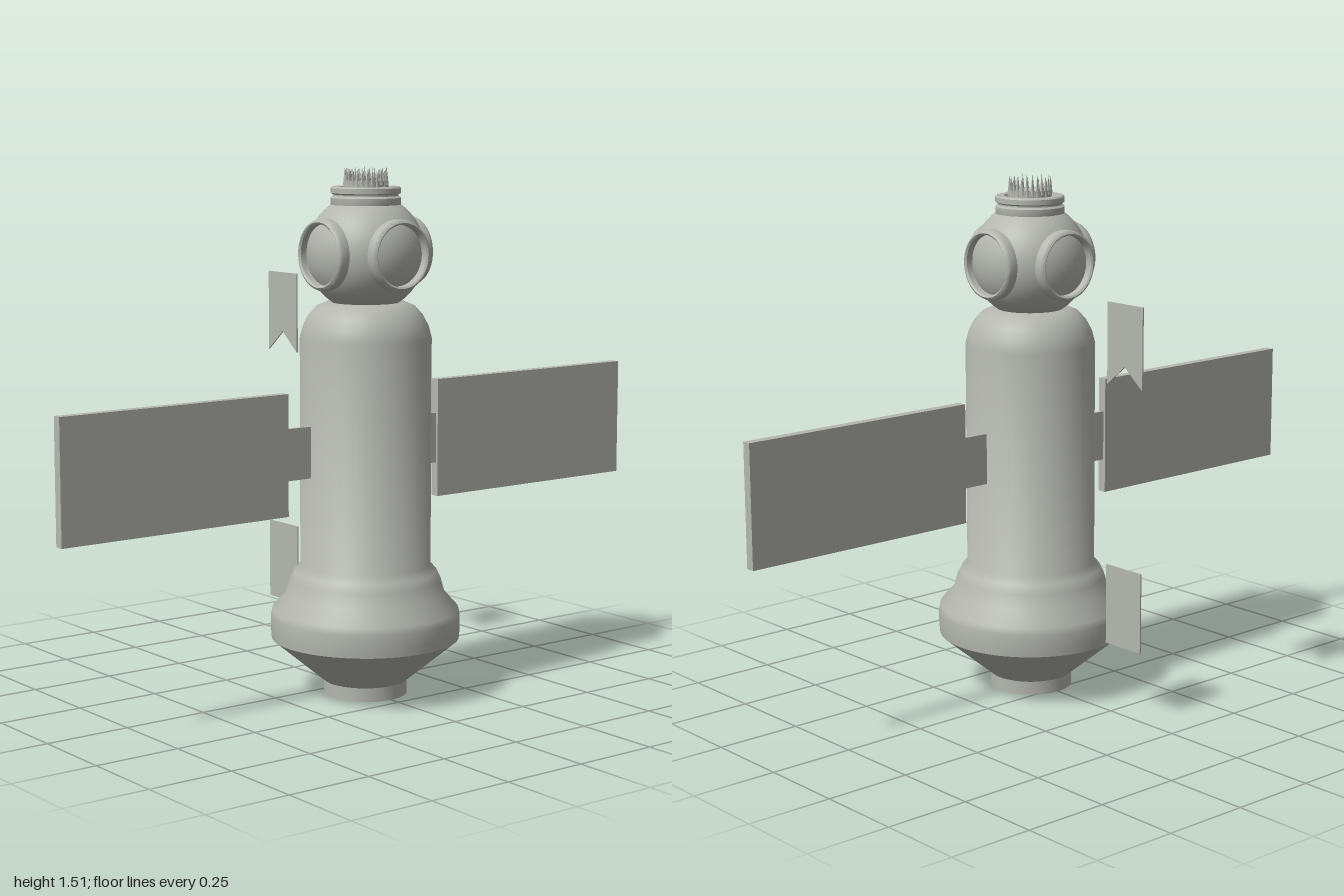
import * as THREE from 'three';
import { toCreasedNormals } from 'three/addons/utils/BufferGeometryUtils.js';

export function createModel() {
  const model = new THREE.Group();
  model.name = 'spaceStation';
  const hull = new THREE.MeshStandardMaterial({ color: 0xb4b6af, side: THREE.DoubleSide });
  hull.name = 'hull grey';
  const AXIS_Z = 0.097; // the hull stands forward of the rear plates
  const HEAD_Y = 1.27;

  const add = (name, geometry, x = 0, y = 0, z = 0, parent = model) => {
    const mesh = new THREE.Mesh(geometry, hull);
    mesh.name = name;
    mesh.position.set(x, y, z);
    parent.add(mesh);
    return mesh;
  };
  const turned = (points, segments = 64) => toCreasedNormals(
    new THREE.LatheGeometry(points.map(([r, y]) => new THREE.Vector2(r, y)), segments), 0.75);

  // Main hull: nozzle, flared skirt, long cylinder and domed shoulder
  add('hull', turned([
    [0, 0], [0.12, 0], [0.12, 0.04], [0.27, 0.165], [0.272, 0.19], [0.272, 0.23], [0.268, 0.25],
    [0.228, 0.295], [0.217, 0.335], [0.205, 0.36], [0.187, 0.38], [0.187, 1.03],
    [0.178, 1.065], [0.162, 1.095], [0.14, 1.12], [0.115, 1.131], [0, 1.131],
  ]), 0, 0, AXIS_Z);

  // Docking sphere
  add('dockingSphere', new THREE.SphereGeometry(0.168, 48, 32), 0, HEAD_Y, AXIS_Z);

  // Four port rims around the sphere
  const rimGeometry = turned([
    [0.098, 0.125], [0.1, 0.135], [0.1, 0.158], [0.096, 0.166], [0.091, 0.168], [0.086, 0.164], [0.085, 0.14],
  ], 48);
  for (let i = 0; i < 4; i++) {
    const port = new THREE.Group();
    port.name = 'port' + (i + 1);
    port.position.set(0, HEAD_Y, AXIS_Z);
    port.rotation.y = i * Math.PI / 2;
    add('portRim', rimGeometry, 0, 0, 0, port).rotation.x = Math.PI / 2;
    model.add(port);
  }

  // Hollow double collar on top of the sphere
  add('topCollar', turned([
    [0.095, 1.395], [0.099, 1.405], [0.099, 1.425], [0.092, 1.43], [0.092, 1.434], [0.099, 1.438],
    [0.099, 1.452], [0.095, 1.456], [0.074, 1.456], [0.07, 1.45], [0.068, 1.425], [0, 1.425],
  ], 48), 0, 0, AXIS_Z);

  // Docking crown: short sleeve carrying rings of pointed guides
  add('crownSleeve', turned([
    [0.061, 1.42], [0.061, 1.472], [0.04, 1.462], [0.036, 1.43],
  ], 40), 0, 0, AXIS_Z);
  const spike = new THREE.ConeGeometry(0.0055, 0.05, 6);
  for (const [radius, count, y] of [[0.059, 26, 1.486], [0.047, 18, 1.482]]) {
    for (let i = 0; i < count; i++) {
      const a = i / count * Math.PI * 2;
      add('crownSpike', spike, radius * Math.cos(a), y - (i % 2) * 0.006, AXIS_Z + radius * Math.sin(a));
    }
  }

  // Solar wings with their mounting arms
  for (const [side, s] of [['left', 1], ['right', -1]]) {
    add(side + 'SolarWing', new THREE.BoxGeometry(0.73, 0.346, 0.027), s * 0.635, 0.717, 0.081);
    add(side + 'WingArm', new THREE.BoxGeometry(0.13, 0.147, 0.012), s * 0.225, 0.717, 0.081);
  }

  // Rear plates: the upper one notched, the lower one rectangular
  const plate = (name, outline) => {
    const shape = new THREE.Shape(outline.map(([z, y]) => new THREE.Vector2(-z, y)));
    const geometry = new THREE.ExtrudeGeometry(shape, { depth: 0.004, bevelEnabled: false });
    add(name, geometry, -0.002).rotation.y = Math.PI / 2;
  };
  plate('upperRearPlate', [[-0.23, 0.957], [-0.3, 1.015], [-0.37, 0.957], [-0.37, 1.19], [-0.23, 1.19]]);
  plate('lowerRearPlate', [[-0.23, 0.202], [-0.37, 0.202], [-0.37, 0.435], [-0.23, 0.435]]);

  return model;
}
